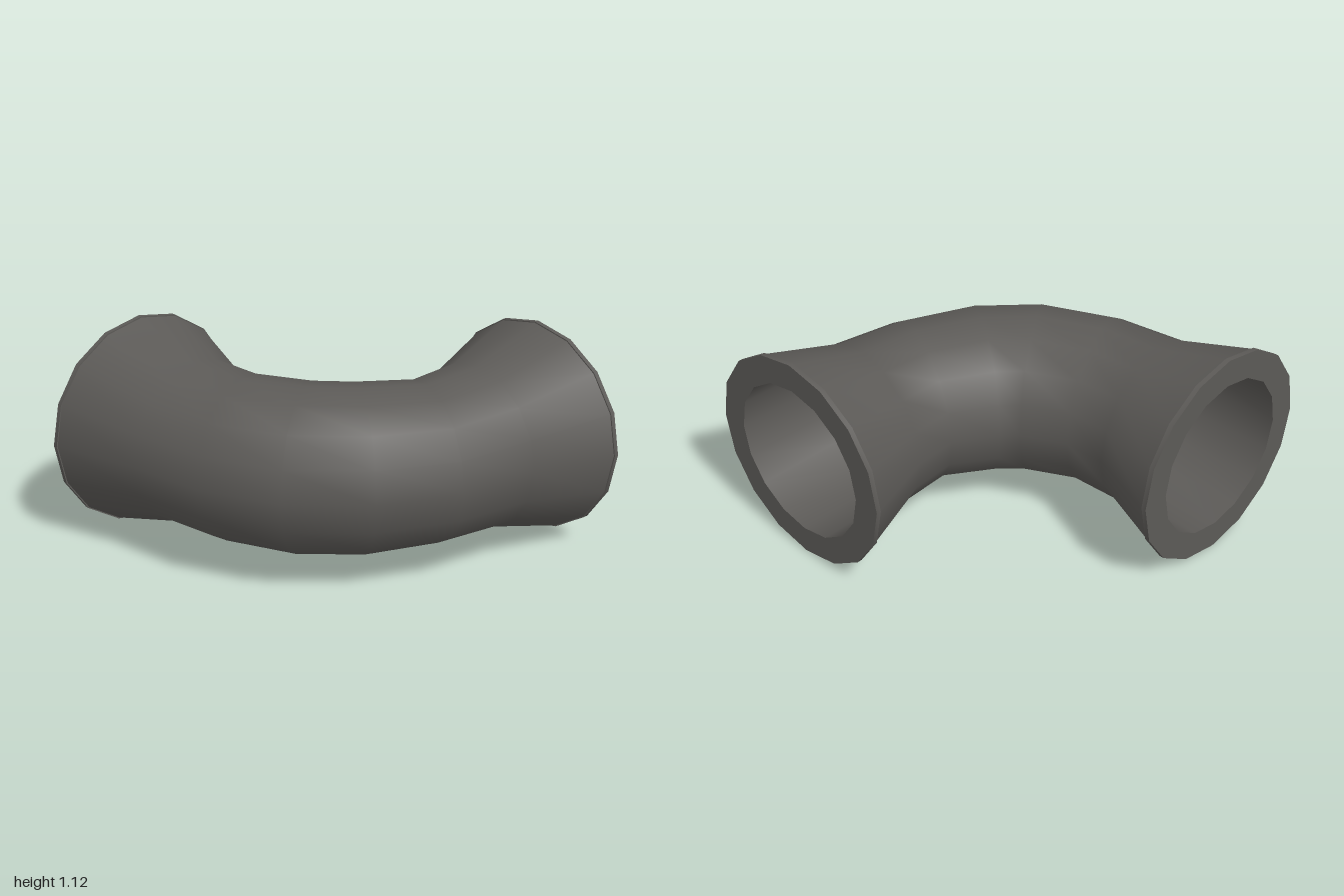
import * as THREE from 'three';

const SIDES = 16;
const MID_Y = 0.565; // height of the pipe's centre line
const FLARE = 0.56;  // radius of the flared mouths
const BORE = 0.415;  // radius of the openings

// Cross-section from its point on the outside [x, z] and inside [x, z] of the bend
function section(ox, oz, ix, iz) {
  const cx = (ox + ix) / 2, cz = (oz + iz) / 2;
  const r = Math.hypot(ox - ix, oz - iz) / 2;
  return { cx, cz, nx: (ox - cx) / r, nz: (oz - cz) / r, r };
}

const resize = (s, r) => ({ ...s, r });

// Skin a row of cross-sections with a smooth closed wall
function loft(sections) {
  const positions = [], index = [];
  for (const s of sections) {
    for (let j = 0; j < SIDES; j++) {
      const a = (j / SIDES) * Math.PI * 2;
      const c = Math.cos(a) * s.r;
      positions.push(s.cx + s.nx * c, MID_Y + Math.sin(a) * s.r, s.cz + s.nz * c);
    }
  }
  for (let i = 0; i < sections.length - 1; i++) {
    for (let j = 0; j < SIDES; j++) {
      const k = (j + 1) % SIDES;
      const a = i * SIDES + j, b = i * SIDES + k;
      const c = a + SIDES, d = b + SIDES;
      index.push(a, c, b, b, c, d);
    }
  }
  const g = new THREE.BufferGeometry();
  g.setAttribute('position', new THREE.Float32BufferAttribute(positions, 3));
  g.setIndex(index);
  g.computeVertexNormals();
  return g;
}

export function createModel() {
  const group = new THREE.Group();
  group.name = 'elbowPipe';
  const iron = new THREE.MeshStandardMaterial({ color: 0x5c5a57, side: THREE.DoubleSide });
  iron.name = 'darkIron';

  const add = (name, sections) => {
    const mesh = new THREE.Mesh(loft(sections), iron);
    mesh.name = name;
    group.add(mesh);
  };

  // Sections round the quarter bend, from the back mouth to the left mouth
  const bend = [
    section(-0.86, -0.53, -0.01, -0.61),
    section(-0.79, -0.11, 0.0, -0.40),
    section(-0.60, 0.28, 0.11, -0.19),
    section(-0.28, 0.59, 0.18, -0.12),
    section(0.11, 0.78, 0.38, 0.01),
    section(0.53, 0.85, 0.60, 0.0),
  ];
  const backMouth = section(-1.0, -1, 0.12, -1);
  const leftMouth = section(1, 0.99, 1, -0.13);
  const backCollar = { ...backMouth, cz: -0.975 };
  const leftCollar = { ...leftMouth, cx: 0.975 };

  // Outer wall with its flared ends
  add('pipeBody', [resize(backCollar, FLARE - 0.006), ...bend, resize(leftCollar, FLARE - 0.006)]);

  // Thin straight lips round both mouths
  add('backLip', [resize(backCollar, FLARE - 0.006), resize(backCollar, FLARE)]);
  add('backLipEdge', [resize(backCollar, FLARE), resize(backMouth, FLARE)]);
  add('leftLip', [resize(leftCollar, FLARE), resize(leftCollar, FLARE - 0.006)].reverse());
  add('leftLipEdge', [resize(leftCollar, FLARE), resize(leftMouth, FLARE)]);

  // Flat ring faces
  add('leftRim', [resize(leftMouth, FLARE), resize(leftMouth, BORE)]);
  add('backRim', [resize(backMouth, BORE), resize(backMouth, FLARE)]);

  // Hollow inside, running the other way so that it faces inward
  const bore = bend.map((s) => resize(s, s.r - 0.015));
  add('bore', [resize(backMouth, BORE), ...bore, resize(leftMouth, BORE)].reverse());

  return group;
}
